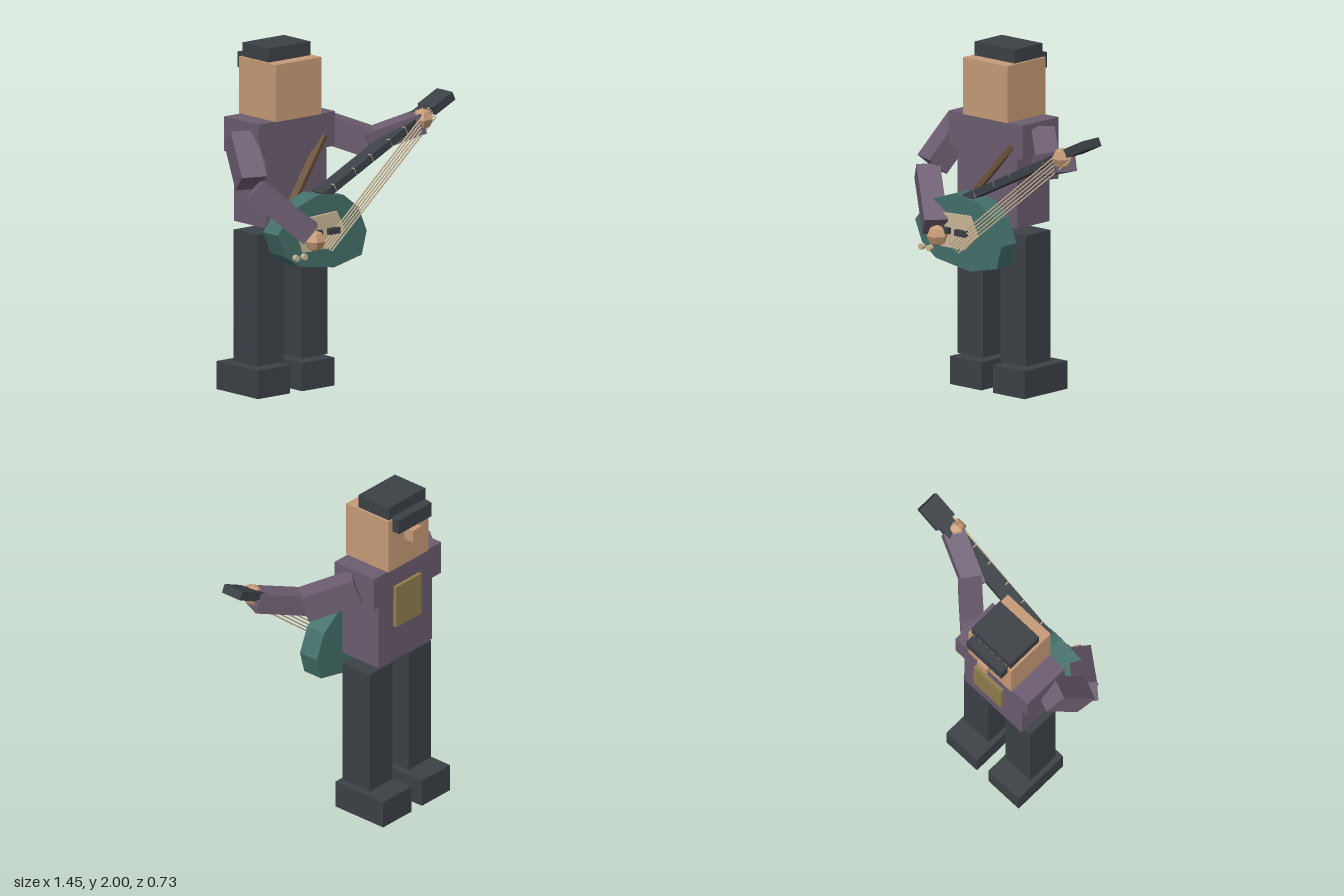
import * as THREE from 'three';

const mat = (name, color, flat = true) => {
  const m = new THREE.MeshStandardMaterial({ color, flatShading: flat });
  m.name = name;
  return m;
};

export function createModel() {
  const root = new THREE.Group();
  root.name = 'guitarist';

  const skin = mat('skin', 0xc79b77);
  const purple = mat('purpleCloth', 0x6c5d70);
  const dark = mat('charcoal', 0x3c4147);
  const teal = mat('tealBody', 0x44706a);
  const cream = mat('cream', 0xcbb999);
  const brown = mat('strapBrown', 0x6b5039);
  const gold = mat('badgeGold', 0x917e4e);

  const add = (name, geo, material) => {
    const mesh = new THREE.Mesh(geo, material);
    mesh.name = name;
    root.add(mesh);
    return mesh;
  };

  // Axis-aligned box given by its extents
  const box = (name, material, x0, x1, y0, y1, z0, z1) => {
    const mesh = add(name, new THREE.BoxGeometry(x1 - x0, y1 - y0, z1 - z0), material);
    mesh.position.set((x0 + x1) / 2, (y0 + y1) / 2, (z0 + z1) / 2);
    return mesh;
  };

  // Box running from point a to point b, w across and h high
  const beam = (name, material, a, b, w, h) => {
    const p = new THREE.Vector3(...a), q = new THREE.Vector3(...b);
    const mesh = add(name, new THREE.BoxGeometry(w, h, p.distanceTo(q)), material);
    mesh.position.copy(p).lerp(q, 0.5);
    mesh.lookAt(q);
    return mesh;
  };

  // Flat outline extruded from z0 to z1
  const plate = (name, material, pts, z0, z1) => {
    const shape = new THREE.Shape(pts.map(([x, y]) => new THREE.Vector2(x, y)));
    const geo = new THREE.ExtrudeGeometry(shape, { depth: z1 - z0, bevelEnabled: false });
    geo.translate(0, 0, z0);
    return add(name, geo, material);
  };

  // Head
  box('head', skin, -0.42, -0.08, 1.59, 1.92, -0.3, 0.02);
  box('cap', dark, -0.405, -0.095, 1.92, 2, -0.29, -0.06);
  box('glasses', dark, -0.39, -0.115, 1.845, 1.935, -0.35, -0.295);
  box('nose', skin, -0.29, -0.215, 1.755, 1.83, -0.367, -0.3);

  // Torso and badge
  box('shoulders', purple, -0.54, 0.03, 1.39, 1.59, -0.29, 0.01);
  box('torso', purple, -0.48, -0.025, 0.98, 1.39, -0.275, 0);
  box('badge', gold, -0.35, -0.135, 1.215, 1.475, -0.312, -0.285);

  // Legs and feet
  for (const [side, leg, foot] of [['right', -0.415, -0.4175], ['left', -0.085, -0.0875]]) {
    box(side + 'Leg', dark, leg - 0.097, leg + 0.097, 0.18, 0.94, -0.24, -0.035);
    box(side + 'Foot', dark, foot - 0.12, foot + 0.12, 0, 0.163, -0.36, 0);
  }

  // Arms
  beam('leftUpperArm', purple, [0.03, 1.49, -0.155], [0.25, 1.39, 0.05], 0.135, 0.16);
  beam('leftForearm', purple, [0.22, 1.395, 0.055], [0.52, 1.49, 0.185], 0.125, 0.12);
  beam('rightUpperArm', purple, [-0.56, 1.5, -0.13], [-0.63, 1.27, 0.05], 0.15, 0.145);
  beam('rightForearm', purple, [-0.635, 1.24, 0.085], [-0.39, 0.985, 0.285], 0.135, 0.125);

  // Hands
  for (const [name, x, y, z] of [['leftHand', 0.513, 1.51, 0.205], ['rightHand', -0.365, 0.94, 0.295]]) {
    const hand = add(name, new THREE.SphereGeometry(0.062, 6, 4), skin);
    hand.position.set(x, y, z);
  }

  // Guitar body and pickguard
  plate('guitarBody', teal, [
    [-0.59, 0.99], [-0.535, 0.86], [-0.43, 0.79], [-0.17, 0.75], [0.035, 0.795],
    [0.072, 0.93], [0.01, 1.075], [-0.1, 1.16], [-0.29, 1.185], [-0.485, 1.12],
  ], 0.107, 0.235);
  plate('pickguard', cream, [
    [-0.41, 0.87], [-0.2, 0.87], [-0.1, 0.96], [-0.16, 1.075], [-0.39, 1.065], [-0.44, 0.96],
  ], 0.235, 0.25);

  // Pickup, bridge and knobs
  box('pickup', dark, -0.245, -0.165, 0.955, 0.99, 0.258, 0.285);
  box('bridge', dark, -0.375, -0.295, 0.955, 0.99, 0.258, 0.285);
  for (const x of [-0.495, -0.435]) {
    const knob = add('knob', new THREE.CylinderGeometry(0.019, 0.019, 0.025, 8), cream);
    knob.rotation.x = Math.PI / 2;
    knob.position.set(x, 0.855, 0.283);
  }

  // Neck, headstock and frets
  beam('neck', dark, [-0.23, 1.165, 0.175], [0.6, 1.568, 0.175], 0.095, 0.045);
  beam('headstock', dark, [0.57, 1.553, 0.177], [0.715, 1.622, 0.177], 0.135, 0.052);
  for (const x of [-0.15, 0, 0.125, 0.265, 0.38]) {
    const y = 1.165 + (x + 0.23) * 0.4855;
    const fret = add('fret', new THREE.BoxGeometry(0.006, 0.046, 0.025), cream);
    fret.position.set(x, y + 0.001, 0.21);
    fret.rotation.z = 0.452;
  }

  // Strings, spaced across their own direction
  for (let i = -2; i <= 2; i++) {
    const dx = i * 0.012, dy = -i * 0.015;
    beam('string', cream,
      [-0.26 + dx * 1.5, 0.875 + dy * 0.6, 0.275],
      [0.57 + dx, 1.545 + dy, 0.228], 0.007, 0.007);
  }

  // Strap
  beam('strap', brown, [-0.05, 1.46, 0], [-0.46, 0.97, 0.09], 0.045, 0.03);

  return root;
}
